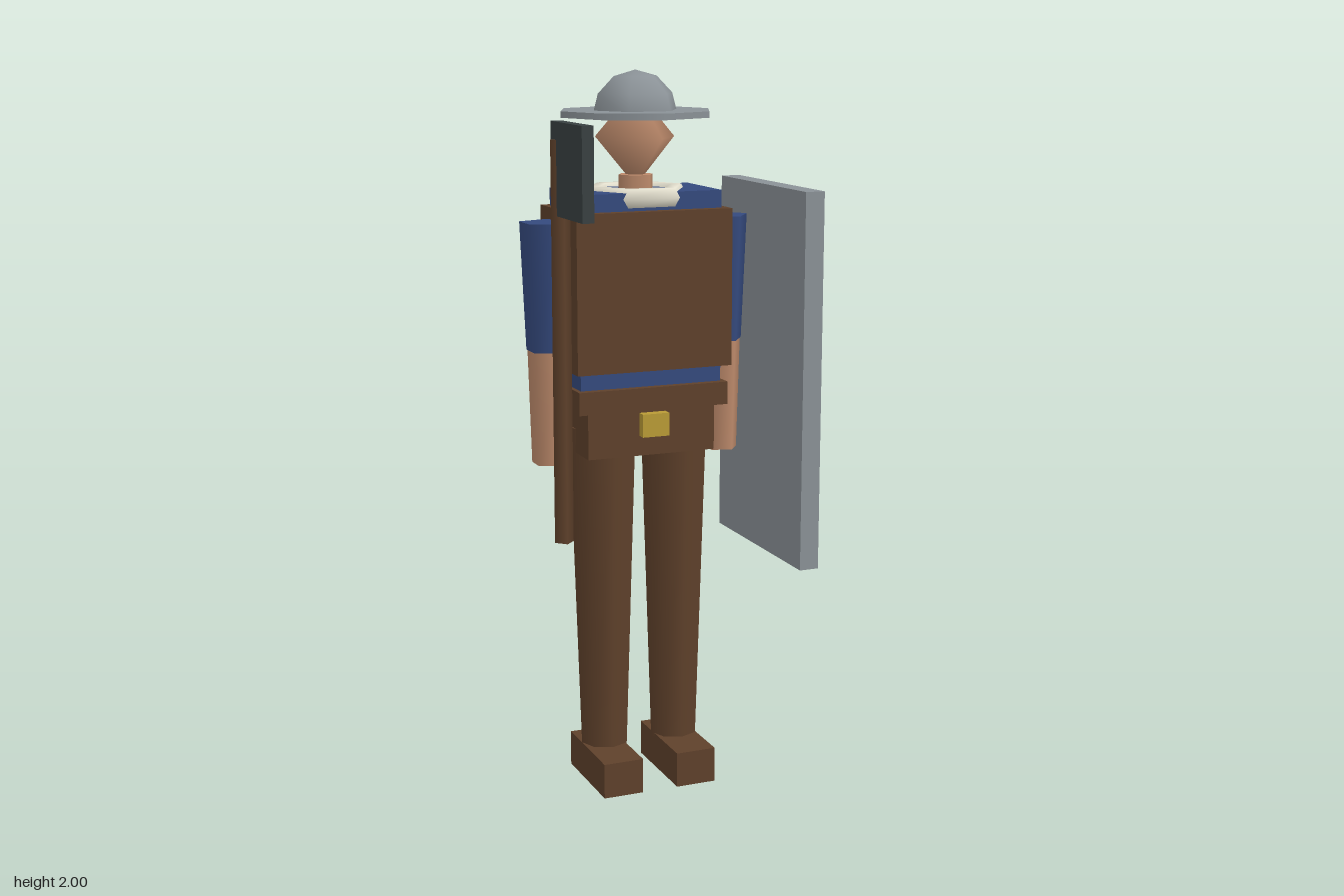
import * as THREE from 'three';

const CX = -0.045, CZ = -0.072; // axis of the figure

export function createModel() {
  const group = new THREE.Group();
  const mat = (name, color) => {
    const m = new THREE.MeshStandardMaterial({ color });
    m.name = name;
    return m;
  };
  const brown = mat('brown leather', 0x5f412b);
  const blue = mat('blue cloth', 0x354a7e);
  const skin = mat('skin', 0xbd8a6b);
  const steel = mat('steel', 0x8b9297);
  const red = mat('red paint', 0xb2352c);
  const gold = mat('brass', 0xb99b36);
  const cream = mat('cream linen', 0xe2decd);
  const iron = mat('dark iron', 0x394142);

  const add = (name, geometry, material, x = 0, y = 0, z = 0) => {
    const mesh = new THREE.Mesh(geometry, material);
    mesh.name = name;
    mesh.position.set(x, y, z);
    group.add(mesh);
    return mesh;
  };
  // box given by its limits on each axis
  const box = (name, material, [x0, x1], [y0, y1], [z0, z1]) =>
    add(name, new THREE.BoxGeometry(x1 - x0, y1 - y0, z1 - z0), material,
      (x0 + x1) / 2, (y0 + y1) / 2, (z0 + z1) / 2);
  // upright tapered prism with one corner towards +x
  const column = (name, material, sides, rTop, rBottom, y0, y1, x = CX, z = CZ) =>
    add(name, new THREE.CylinderGeometry(rTop, rBottom, y1 - y0, sides, 1, false, Math.PI / 2),
      material, x, (y0 + y1) / 2, z);

  // torso, vest, belt and hips
  box('tunic', blue, [-0.252, 0.159], [1.1, 1.68], [-0.19, 0.046]);
  box('vest', brown, [-0.27, 0.18], [1.2, 1.632], [-0.217, 0.074]);
  box('belt', brown, [-0.264, 0.172], [1.09, 1.153], [-0.212, 0.068]);
  box('hips', brown, [-0.234, 0.138], [0.962, 1.09], [-0.195, 0.052]);
  box('buckle', gold, [-0.085, -0.008], [1.018, 1.082], [0.05, 0.08]);

  // legs, boots and arms on both sides
  for (const side of [-1, 1]) {
    const label = side > 0 ? 'left' : 'right';
    const legX = -0.039 + side * 0.107;
    column(label + 'Leg', brown, 8, 0.099, 0.069, 0.09, 1.03, legX);
    const bootX = -0.048 + side * 0.11;
    box(label + 'Boot', brown, [bootX - 0.058, bootX + 0.058], [0, 0.1], [-0.165, 0.112]);
    const armX = CX + side * 0.259;
    column(label + 'Sleeve', blue, 5, 0.076, 0.061, 1.25, 1.6, armX);
    column(label + 'Forearm', skin, 5, 0.058, 0.049, 0.935, 1.25, armX);
  }

  // collar, neck and head
  const collar = new THREE.TorusGeometry(0.12, 0.03, 6, 6).rotateX(Math.PI / 2);
  add('collar', collar, cream, CX, 1.664, CZ);
  column('neck', skin, 6, 0.05, 0.05, 1.64, 1.72);
  const head = new THREE.SphereGeometry(0.114, 5, 2, Math.PI);
  head.scale(1, 1.16, 1);
  add('head', head, skin, CX, 1.82, CZ);

  // broad-brimmed helmet
  column('helmetBrim', steel, 8, 0.215, 0.215, 1.876, 1.893);
  add('helmetDome', new THREE.SphereGeometry(0.125, 6, 3, 0, Math.PI * 2, 0, Math.PI / 2),
    steel, CX, 1.875, CZ);

  // shield with painted square
  box('shield', steel, [0.295, 0.35], [0.655, 1.69], [-0.255, 0.286]);
  box('shieldEmblem', red, [0.35, 0.365], [1.035, 1.308], [-0.12, 0.15]);

  // polearm
  column('poleShaft', brown, 4, 0.027, 0.027, 0.742, 1.828, -0.308, 0.058);
  box('poleBlade', iron, [-0.323, -0.291], [1.63, 1.875], [0.027, 0.265]);

  return group;
}
